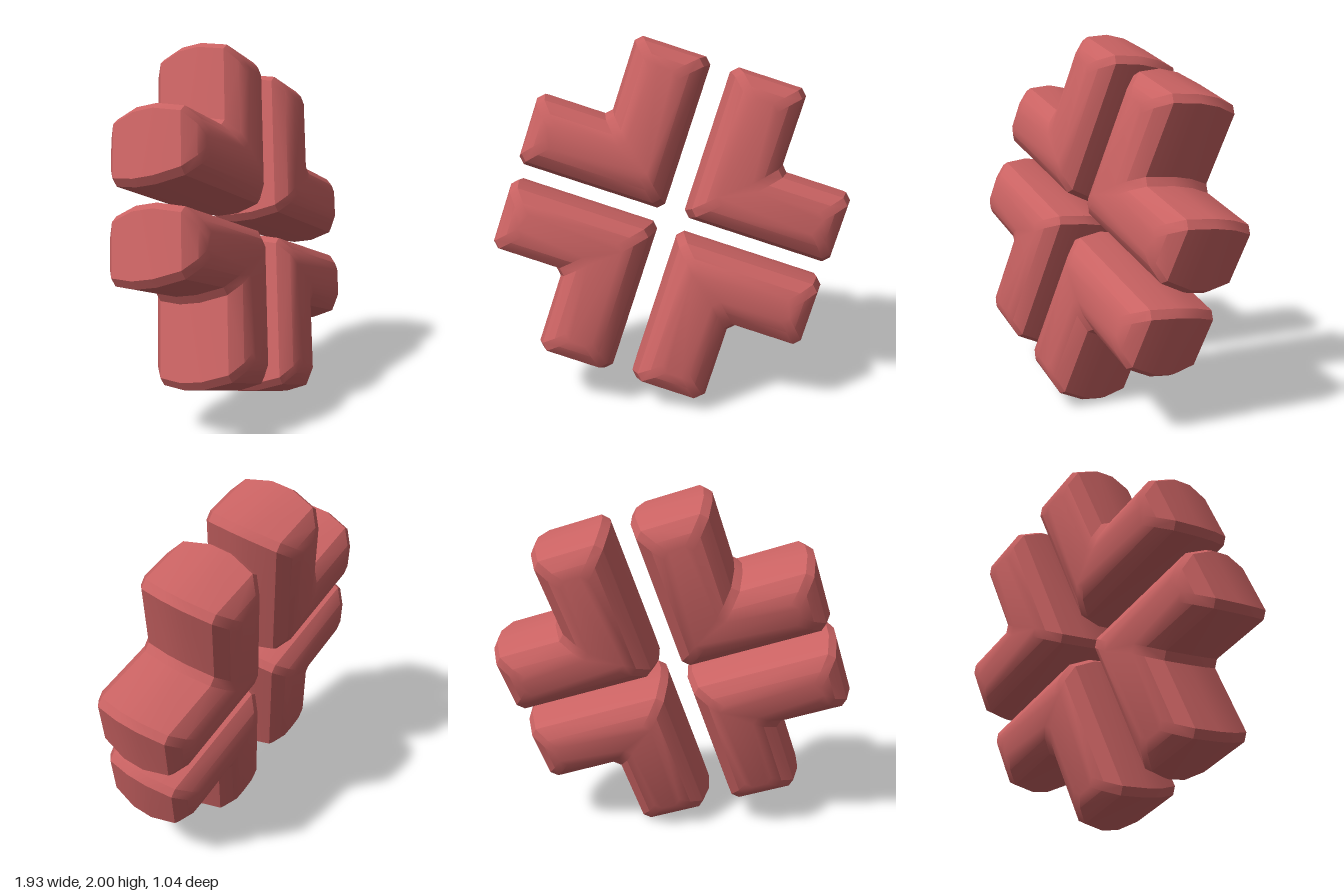
import * as THREE from 'three';
import { toCreasedNormals } from 'three/addons/utils/BufferGeometryUtils.js';

// Inner gap, arm width limit and arm reach along the two arms
const GAP = [0.058, 0.045], WIDTH = [0.49, 0.45], REACH = [0.904, 0.912];
const CUT = 0.035;

// L outline pulled in by d, with every corner cut off
function outline(d) {
  const [gx, gy] = GAP.map((s) => s + d);
  const [wx, wy] = WIDTH.map((s) => s - d);
  const [rx, ry] = REACH.map((s) => s - d);
  const corners = [[gx, gy], [rx, gy], [rx, wy], [wx, wy], [wx, ry], [gx, ry]]
    .map(([x, y]) => new THREE.Vector2(x, y));
  return corners.flatMap((p, i) =>
    [corners[(i + 5) % 6], corners[(i + 1) % 6]].map((q) =>
      q.clone().sub(p).setLength(CUT).add(p)));
}

// Stacked outlines joined by walls and closed by two flat caps
function blockGeometry() {
  // [depth, inset] from the middle to the front face
  const half = [[0.06, 0], [0.2, 0.03], [0.256, 0.09], [0.276, 0.14]];
  const layers = [...half.map(([n, d]) => [-n, d]).reverse(), ...half];
  const rings = layers.map(([, d]) => outline(d));
  const count = rings[0].length;
  const pos = [], idx = [];
  rings.forEach((ring, k) => ring.forEach((p) => pos.push(p.x, p.y, layers[k][0])));
  for (let k = 0; k < rings.length - 1; k++) {
    for (let i = 0; i < count; i++) {
      const a = k * count + i, b = k * count + (i + 1) % count;
      idx.push(a, b, b + count, a, b + count, a + count);
    }
  }
  const top = (rings.length - 1) * count;
  for (const [a, b, c] of THREE.ShapeUtils.triangulateShape(rings[0], [])) {
    idx.push(c, b, a, top + a, top + b, top + c);
  }
  const geo = new THREE.BufferGeometry();
  geo.setAttribute('position', new THREE.Float32BufferAttribute(pos, 3));
  geo.setIndex(idx);
  return toCreasedNormals(geo, 0.5);
}

export function createModel() {
  const model = new THREE.Group();
  model.name = 'cornerBlockCross';
  const material = new THREE.MeshStandardMaterial({ color: 0xc96262 });
  const geometry = blockGeometry();

  // Four corner blocks mirrored around the centre
  const cross = new THREE.Group();
  cross.name = 'cross';
  for (const [vertical, sy] of [['upper', 1], ['lower', -1]]) {
    for (const [side, sx] of [['Left', 1], ['Right', -1]]) {
      const block = new THREE.Mesh(geometry, material);
      block.name = vertical + side + 'Block';
      block.scale.set(sx, sy, 1);
      cross.add(block);
    }
  }

  // Tilt the whole cross and stand it on the ground
  const u = new THREE.Vector3(1, -0.32, -0.2).normalize();
  const n = u.clone().cross(new THREE.Vector3(0.27, 1, -0.27)).normalize();
  const v = n.clone().cross(u);
  cross.quaternion.setFromRotationMatrix(new THREE.Matrix4().makeBasis(u, v, n));
  cross.position.y = 1;
  model.add(cross);
  return model;
}
